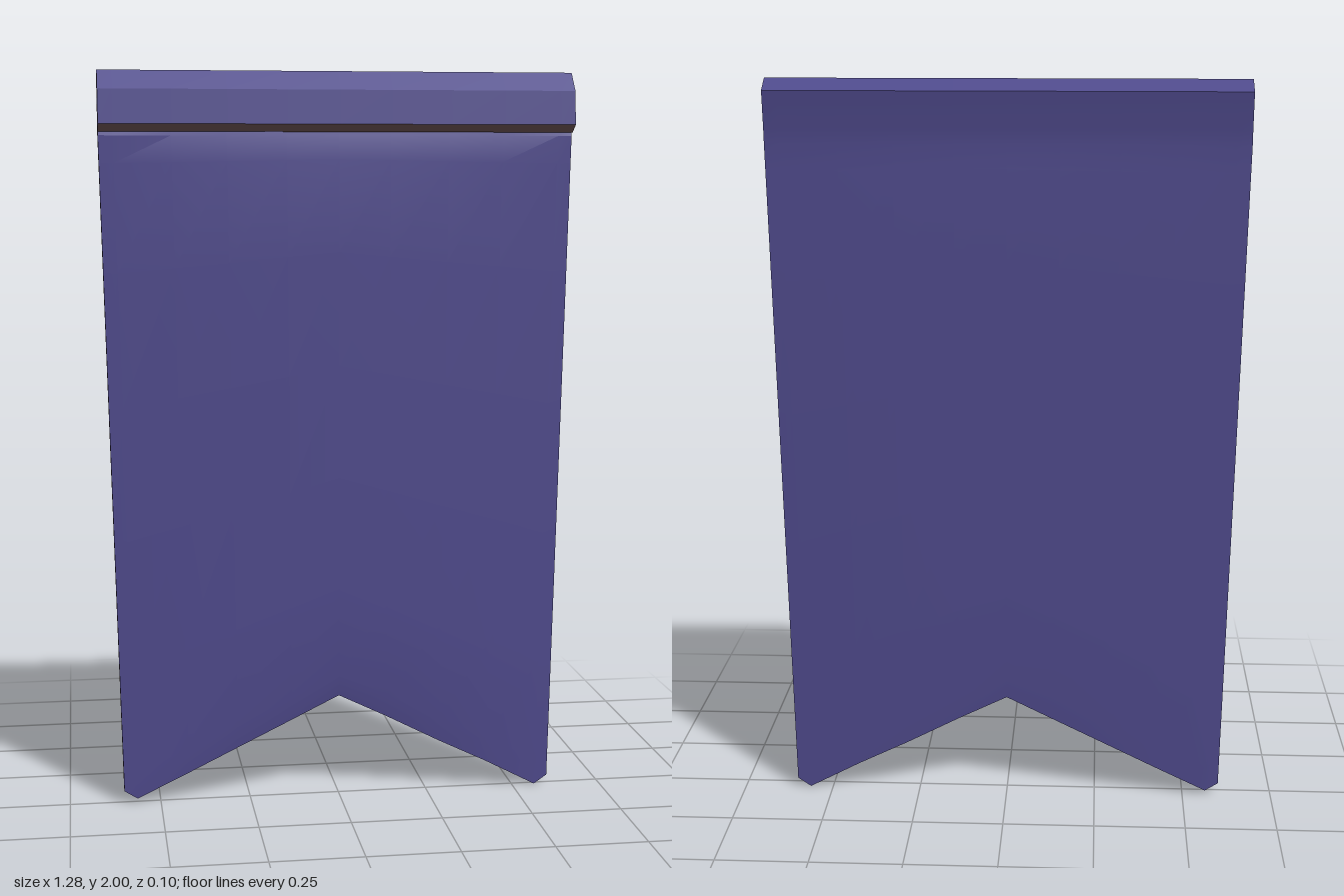
import * as THREE from 'three';
import { toCreasedNormals } from 'three/addons/utils/BufferGeometryUtils.js';

// Columns across the cloth (-1..1) and the height of the notched hem at each
const COLS = [-1, -0.94, -0.7, -0.47, -0.22, 0, 0.22, 0.47, 0.7, 0.94, 1];
const HEM = [0.035, 0.012, 0.08, 0.147, 0.22, 0.285, 0.22, 0.142, 0.075, 0, 0.025];

// Rows of the hanging sheet as fractions from hem to fold
const SHEET_ROWS = [0, 0.04, 0.2, 0.4, 0.6, 0.8, 0.96];
const FOLD_Y = 1.83;

// Cross-section [z, y] of the rolled top: cloth front (inside of the roll) and back (outside)
const ROLL_FRONT = [[0.012, 1.83], [-0.002, 1.87], [-0.018, 1.945], [-0.003, 1.965], [0.01, 1.93], [0.022, 1.84]];
const ROLL_BACK = [[-0.033, 1.83], [-0.036, 1.87], [-0.05, 1.97], [0, 2], [0.043, 1.95], [0.053, 1.86]];

const place = (u, y, z) => new THREE.Vector3(u * (0.6 + 0.04 * Math.min(y / FOLD_Y, 1)), y, z);

// One side of the cloth as a grid of points, rows from hem to flap end
function clothSide(roll, z, bulge) {
  const rows = SHEET_ROWS.map((t) => COLS.map((u, i) => {
    const puff = bulge * (1 - u * u) * Math.min(1, t * 20, (1 - t) * 20);
    return place(u, THREE.MathUtils.lerp(HEM[i], FOLD_Y, t), z + puff);
  }));
  roll.forEach(([rz, ry]) => rows.push(COLS.map((u) => place(u, ry, rz))));
  return rows;
}

function quadMesh(name, quads, color) {
  const points = quads.flatMap(([a, b, c, d]) => [a, b, c, a, c, d]);
  let geometry = new THREE.BufferGeometry().setFromPoints(points);
  geometry = toCreasedNormals(geometry, 0.3);
  const mesh = new THREE.Mesh(geometry, new THREE.MeshStandardMaterial({ color }));
  mesh.name = name;
  return mesh;
}

// Quads covering a grid of points
function gridQuads(g, flip) {
  const quads = [];
  for (let j = 0; j < g.length - 1; j++) {
    for (let i = 0; i < COLS.length - 1; i++) {
      const q = [g[j][i], g[j][i + 1], g[j + 1][i + 1], g[j + 1][i]];
      quads.push(flip ? q.reverse() : q);
    }
  }
  return quads;
}

// Points round the rim of a grid, anticlockwise from the front
function rim(g) {
  const last = COLS.length - 1;
  return [
    ...g[0],
    ...g.slice(1, -1).map((row) => row[last]),
    ...[...g[g.length - 1]].reverse(),
    ...g.slice(1, -1).map((row) => row[0]).reverse(),
  ];
}

export function createModel() {
  const group = new THREE.Group();
  group.name = 'banner';
  const front = clothSide(ROLL_FRONT, 0.012, 0.012);
  const back = clothSide(ROLL_BACK, -0.033, -0.004);

  // Cloth faces, running from the hem up and over the rolled top
  group.add(quadMesh('clothFront', gridQuads(front, false), 0x4f4a8c));
  group.add(quadMesh('clothBack', gridQuads(back, true), 0x4f4a8c));

  // Brown edging through the thickness of the cloth
  const f = rim(front);
  const b = rim(back);
  const edge = f.map((p, i) => {
    const n = (i + 1) % f.length;
    return [p, b[i], b[n], f[n]];
  });
  group.add(quadMesh('clothEdge', edge, 0x755a5a));
  return group;
}
